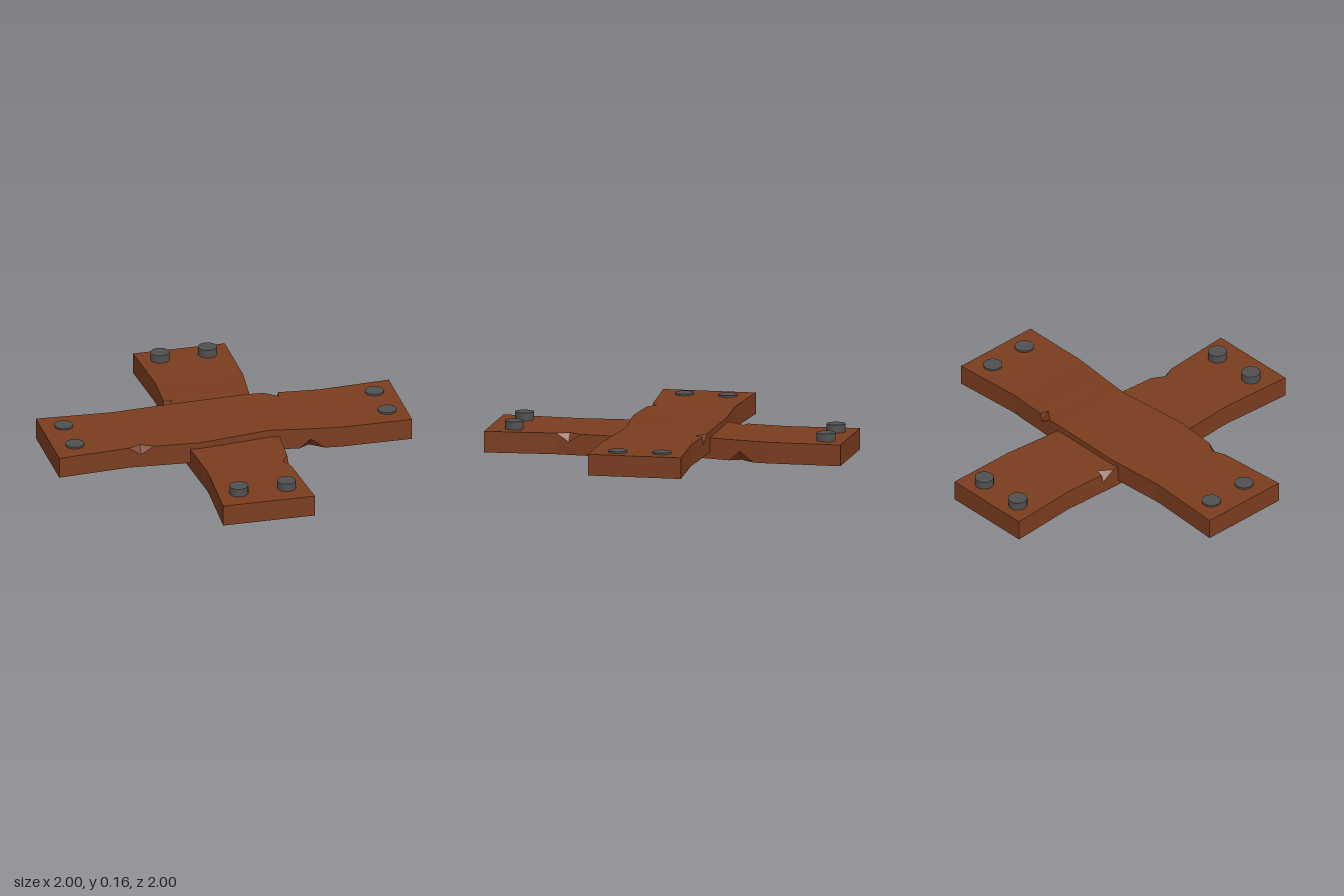
import * as THREE from 'three';

const wood = new THREE.MeshStandardMaterial({ color: 0x7a3c1e, flatShading: true });
const iron = new THREE.MeshStandardMaterial({ color: 0x505050 });

// Plank stations: x, front z, back z, bottom y, top y, optional chip { corner, in, depth }
const stations = [
  [-1, 0.26, -0.26, 0, 0.118],
  [-0.6, 0.23, -0.237, 0, 0.118],
  [-0.53, 0.235, -0.237, 0, 0.118, { corner: 'frontTop', in: 0.035, depth: 0.046 }],
  [-0.46, 0.24, -0.243, 0, 0.118],
  [-0.2, 0.26, -0.26, 0, 0.118],
  [0.2, 0.215, -0.26, 0.008, 0.125],
  [0.29, 0.225, -0.257, 0.006, 0.123],
  [0.36, 0.233, -0.251, 0.004, 0.121, { corner: 'backTop', in: 0.05, depth: 0.05 }],
  [0.37, 0.234, -0.25, 0.004, 0.121],
  [0.43, 0.241, -0.246, 0.002, 0.12, { corner: 'frontBottom', in: 0.05, depth: 0.055 }],
  [0.51, 0.25, -0.241, 0, 0.119],
  [0.6, 0.26, -0.235, 0, 0.118],
  [1, 0.26, -0.26, 0, 0.118],
];

// Each corner is a pair of points that part where a chip is cut from the edge
function section([x, zf, zb, yb, yt, chip]) {
  const cut = (corner, key) => (chip && chip.corner === corner ? chip[key] : 0);
  return [
    [x, yt - cut('frontTop', 'depth'), zf],
    [x, yt, zf - cut('frontTop', 'in')],
    [x, yt, zb + cut('backTop', 'in')],
    [x, yt - cut('backTop', 'depth'), zb],
    [x, yb, zb],
    [x, yb, zb],
    [x, yb, zf - cut('frontBottom', 'in')],
    [x, yb + cut('frontBottom', 'depth'), zf],
  ];
}

function plankGeometry() {
  const rings = stations.map(section);
  const positions = [];
  const same = (p, q) => p.every((v, k) => v === q[k]);
  const tri = (a, b, c) => {
    if (!same(a, b) && !same(b, c) && !same(c, a)) positions.push(...a, ...b, ...c);
  };
  const first = rings[0], last = rings[rings.length - 1];
  for (let j = 0; j < 8; j++) {
    const k = (j + 1) % 8;
    for (let i = 0; i < rings.length - 1; i++) {
      const r = rings[i], s = rings[i + 1];
      tri(r[j], s[j], s[k]);
      tri(r[j], s[k], r[k]);
    }
    // End faces
    tri(first[0], first[j], first[k]);
    tri(last[0], last[k], last[j]);
  }
  const geometry = new THREE.BufferGeometry();
  geometry.setAttribute('position', new THREE.Float32BufferAttribute(positions, 3));
  geometry.computeVertexNormals();
  return geometry;
}

export function createModel() {
  const group = new THREE.Group();

  // Two identical planks, crossed, the upper one resting over the lower
  const geometry = plankGeometry();
  const upper = new THREE.Mesh(geometry, wood);
  upper.name = 'upperPlank';
  upper.position.y = 0.035;
  const lower = new THREE.Mesh(geometry, wood);
  lower.name = 'lowerPlank';
  lower.rotation.y = Math.PI / 2;
  group.add(upper, lower);

  // Bolt heads, all reaching the same height
  const boltGeometry = new THREE.CylinderGeometry(0.052, 0.052, 0.06, 24);
  const bolts = [
    [-0.875, -0.13], [-0.875, 0.115], [0.885, -0.13], [0.895, 0.115],
    [-0.135, -0.893], [0.135, -0.893], [-0.135, 0.857], [0.135, 0.857],
  ];
  for (const [x, z] of bolts) {
    const bolt = new THREE.Mesh(boltGeometry, iron);
    bolt.name = 'bolt';
    bolt.position.set(x, 0.133, z);
    group.add(bolt);
  }
  return group;
}
